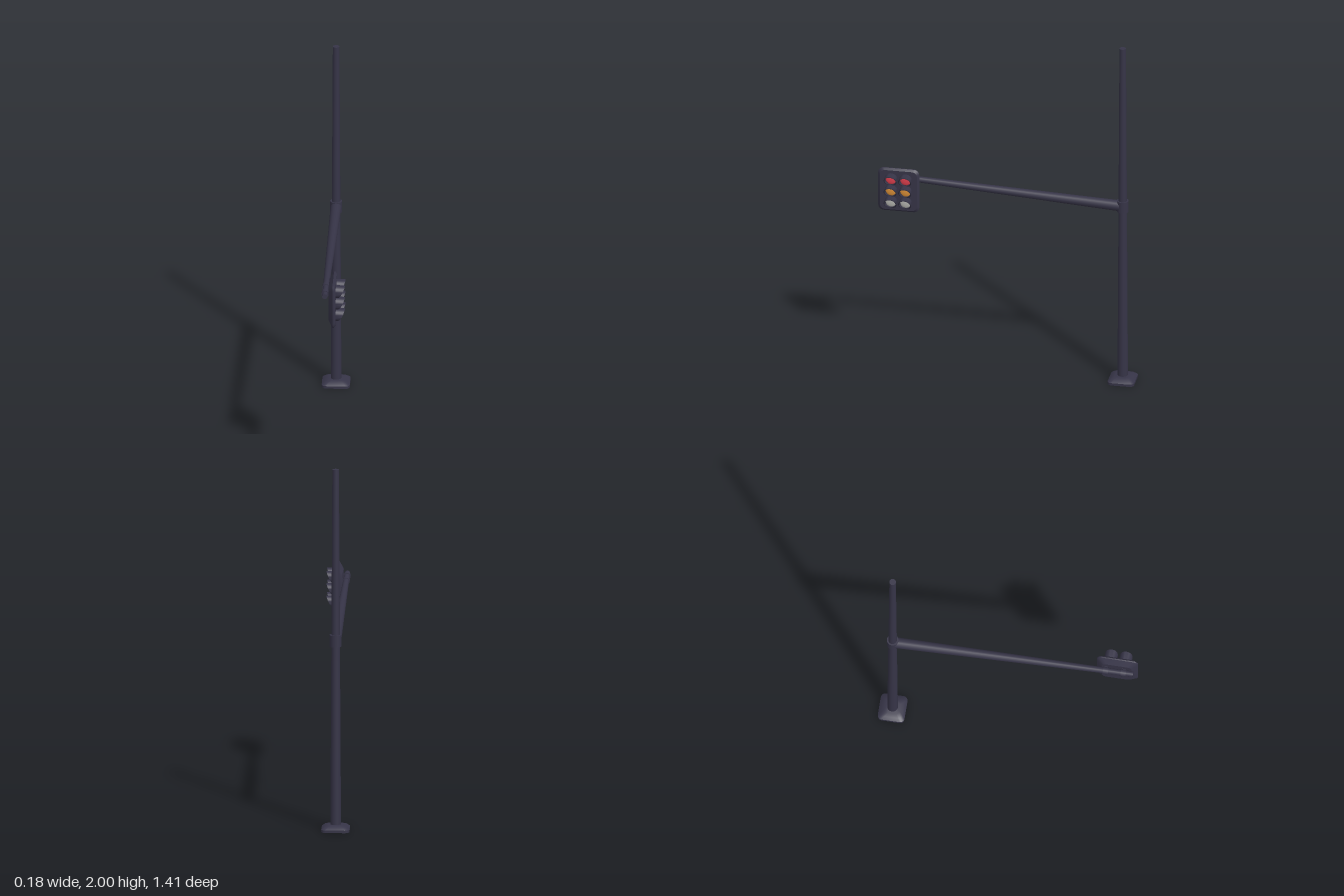
import * as THREE from 'three';
import { toCreasedNormals } from 'three/addons/utils/BufferGeometryUtils.js';

const PX = -0.019, PZ = -0.63; // pole axis

// Lofts rounded rectangles along +z; each ring is [halfWidth, halfHeight, cornerRadius, z]
function loft(rings, seg = 4) {
  const pos = [], idx = [], n = 4 * (seg + 1);
  for (const [w, h, r, z] of rings) {
    for (let c = 0; c < 4; c++) {
      const sx = c === 0 || c === 3 ? 1 : -1, sy = c < 2 ? 1 : -1;
      for (let i = 0; i <= seg; i++) {
        const a = (c + i / seg) * Math.PI / 2;
        pos.push(sx * (w - r) + r * Math.cos(a), sy * (h - r) + r * Math.sin(a), z);
      }
    }
  }
  for (let k = 0; k < rings.length - 1; k++) {
    for (let i = 0; i < n; i++) {
      const a = k * n + i, b = k * n + (i + 1) % n;
      idx.push(a, b, b + n, a, b + n, a + n);
    }
  }
  const last = (rings.length - 1) * n;
  for (let i = 1; i < n - 1; i++) idx.push(0, i + 1, i, last, last + i, last + i + 1);
  const g = new THREE.BufferGeometry();
  g.setAttribute('position', new THREE.Float32BufferAttribute(pos, 3));
  g.setIndex(idx);
  return toCreasedNormals(g, 0.45);
}

// Half-cut visor tube along +x, long at the top and short at the bottom
function visorGeometry(ro, ri) {
  const n = 24, pos = [], idx = [];
  for (let i = 0; i <= n; i++) {
    const a = i / n * Math.PI * 2, c = Math.cos(a), s = Math.sin(a);
    const len = 0.004 + 0.047 * Math.pow((1 + c) / 2, 0.6);
    pos.push(0, ro * c, ro * s, len, ro * c, ro * s, len, ri * c, ri * s, 0, ri * c, ri * s);
  }
  for (let i = 0; i < n; i++) {
    for (let k = 0; k < 3; k++) {
      const a = i * 4 + k, b = a + 4;
      idx.push(a, b, b + 1, a, b + 1, a + 1);
    }
  }
  const g = new THREE.BufferGeometry();
  g.setAttribute('position', new THREE.Float32BufferAttribute(pos, 3));
  g.setIndex(idx);
  return toCreasedNormals(g, 0.6);
}

export function createModel() {
  const model = new THREE.Group();
  const material = (name, color, side = THREE.FrontSide) => {
    const m = new THREE.MeshStandardMaterial({ color, side });
    m.name = name;
    return m;
  };
  const metal = material('dark metal', 0x363447, THREE.DoubleSide);
  const lensMaterials = [
    material('red lens', 0xe0404f),
    material('amber lens', 0xdc9038),
    material('pale lens', 0xb4b4b0),
  ];
  const add = (name, geo, mat, x, y, z, parent = model) => {
    const mesh = new THREE.Mesh(geo, mat);
    mesh.name = name;
    mesh.position.set(x, y, z);
    parent.add(mesh);
    return mesh;
  };

  // Base plate with sloping top
  const base = loft([
    [0.076, 0.073, 0.024, 0], [0.076, 0.073, 0.024, 0.014],
    [0.06, 0.058, 0.022, 0.027], [0.04, 0.04, 0.02, 0.034],
  ]).rotateX(-Math.PI / 2);
  add('basePlate', base, metal, PX, 0, PZ);

  // Tapered pole
  add('pole', new THREE.CylinderGeometry(0.018, 0.029, 1.98, 16), metal, PX, 1.01, PZ);

  // Collar joining the arm to the pole
  add('collar', new THREE.CylinderGeometry(0.032, 0.032, 0.064, 16), metal, PX, 1.051, PZ);

  // Tapered arm, rising towards the signal
  const start = new THREE.Vector3(PX, 1.05, PZ + 0.015);
  const end = new THREE.Vector3(PX, 1.116, 0.685);
  const dir = end.clone().sub(start);
  const arm = add('arm', new THREE.CylinderGeometry(0.0145, 0.03, dir.length(), 16), metal, 0, 0, 0);
  arm.position.copy(start).add(end).multiplyScalar(0.5);
  arm.quaternion.setFromUnitVectors(new THREE.Vector3(0, 1, 0), dir.normalize());

  // Clamps holding the signal on the arm
  for (const z of [0.535, 0.632]) {
    const y = 1.05 + 0.066 * (z - start.z) / 1.3;
    const clamp = add('clamp', new THREE.CylinderGeometry(0.02, 0.02, 0.028, 16), metal, PX, y, z);
    clamp.rotation.x = Math.PI / 2;
    add('clampBracket', new THREE.BoxGeometry(0.03, 0.022, 0.022), metal, -0.004, y, z);
  }

  // Signal head, facing +x
  const signal = new THREE.Group();
  signal.name = 'signalHead';
  signal.position.set(0, 1.057, 0.592);
  model.add(signal);
  const housing = loft([
    [0.08, 0.095, 0.025, 0], [0.112, 0.127, 0.03, 0.023],
    [0.113, 0.128, 0.03, 0.029], [0.102, 0.117, 0.028, 0.039],
  ]).rotateY(Math.PI / 2);
  add('housing', housing, metal, 0, 0, 0, signal);

  // Two columns of three lenses, each under a visor
  const visor = visorGeometry(0.035, 0.031);
  const lens = new THREE.SphereGeometry(0.031, 20, 6, 0, Math.PI * 2, 0, Math.PI / 2)
    .scale(1, 0.25, 1).rotateZ(-Math.PI / 2);
  for (const z of [-0.04, 0.04]) {
    lensMaterials.forEach((mat, i) => {
      const y = 0.066 - i * 0.068;
      add('visor', visor, metal, 0.037, y, z, signal);
      add('lens', lens, mat, 0.038, y, z, signal);
    });
  }
  return model;
}
